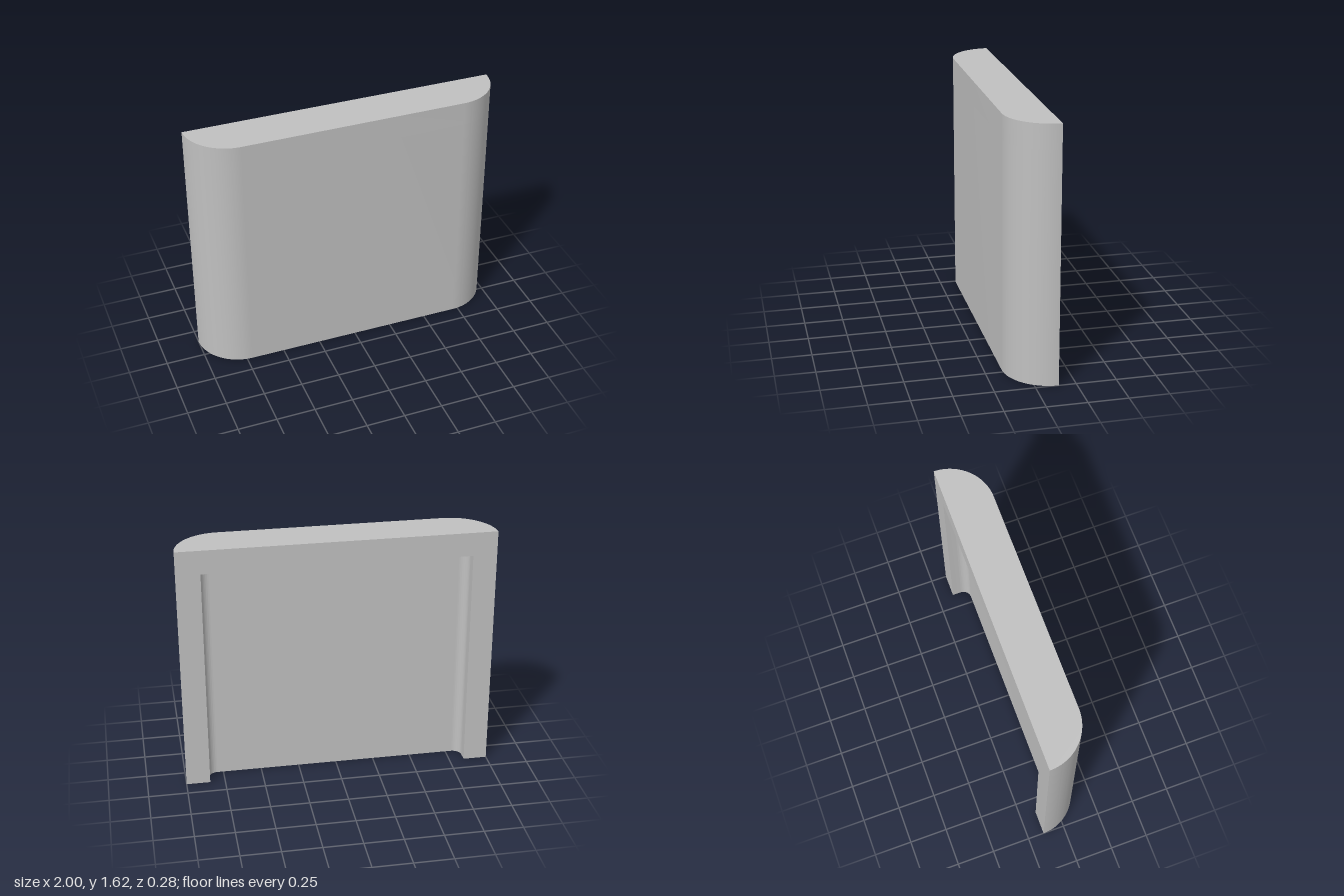
import * as THREE from 'three';
import { toCreasedNormals } from 'three/addons/utils/BufferGeometryUtils.js';

const HALF_W = 1, HALF_D = 0.1425, HEIGHT = 1.615;
const R = 2 * HALF_D;          // rounded front edges
const WALL = 0.153;            // side walls and top
const DEPTH = 0.117;           // depth of the recess in the back
const FILLET = 0.058;          // rounding inside the recess

// Outline seen from above; shape y points to the back (-z)
function outline(hollow) {
  const s = new THREE.Shape();
  const cx = HALF_W - R, back = HALF_D;
  s.moveTo(-HALF_W, back);
  s.absarc(-cx, back, R, Math.PI, Math.PI * 1.5, false);
  s.absarc(cx, back, R, Math.PI * 1.5, Math.PI * 2, false);
  if (hollow) {
    const ix = HALF_W - WALL, fx = ix - FILLET, fy = back - DEPTH + FILLET;
    s.lineTo(ix, back);
    s.lineTo(ix, fy);
    s.absarc(fx, fy, FILLET, 0, -Math.PI / 2, true);
    s.absarc(-fx, fy, FILLET, -Math.PI / 2, -Math.PI, true);
    s.lineTo(-ix, back);
  }
  s.closePath();
  return s;
}

// Upright slab from y0 to y1
function slab(name, hollow, y0, y1, material) {
  const geo = new THREE.ExtrudeGeometry(outline(hollow), {
    depth: y1 - y0, bevelEnabled: false, curveSegments: 24,
  });
  geo.rotateX(-Math.PI / 2);
  geo.translate(0, y0, 0);
  const mesh = new THREE.Mesh(toCreasedNormals(geo, Math.PI / 6), material);
  mesh.name = name;
  return mesh;
}

export function createModel() {
  const grey = new THREE.MeshStandardMaterial({ color: 0xc0c0c0 });
  grey.name = 'light grey';
  const group = new THREE.Group();
  group.name = 'coverShell';
  // Hollow body open at the back and bottom, closed by a solid top
  group.add(slab('hollowBody', true, 0, HEIGHT - WALL, grey));
  group.add(slab('solidTop', false, HEIGHT - WALL, HEIGHT, grey));
  return group;
}
